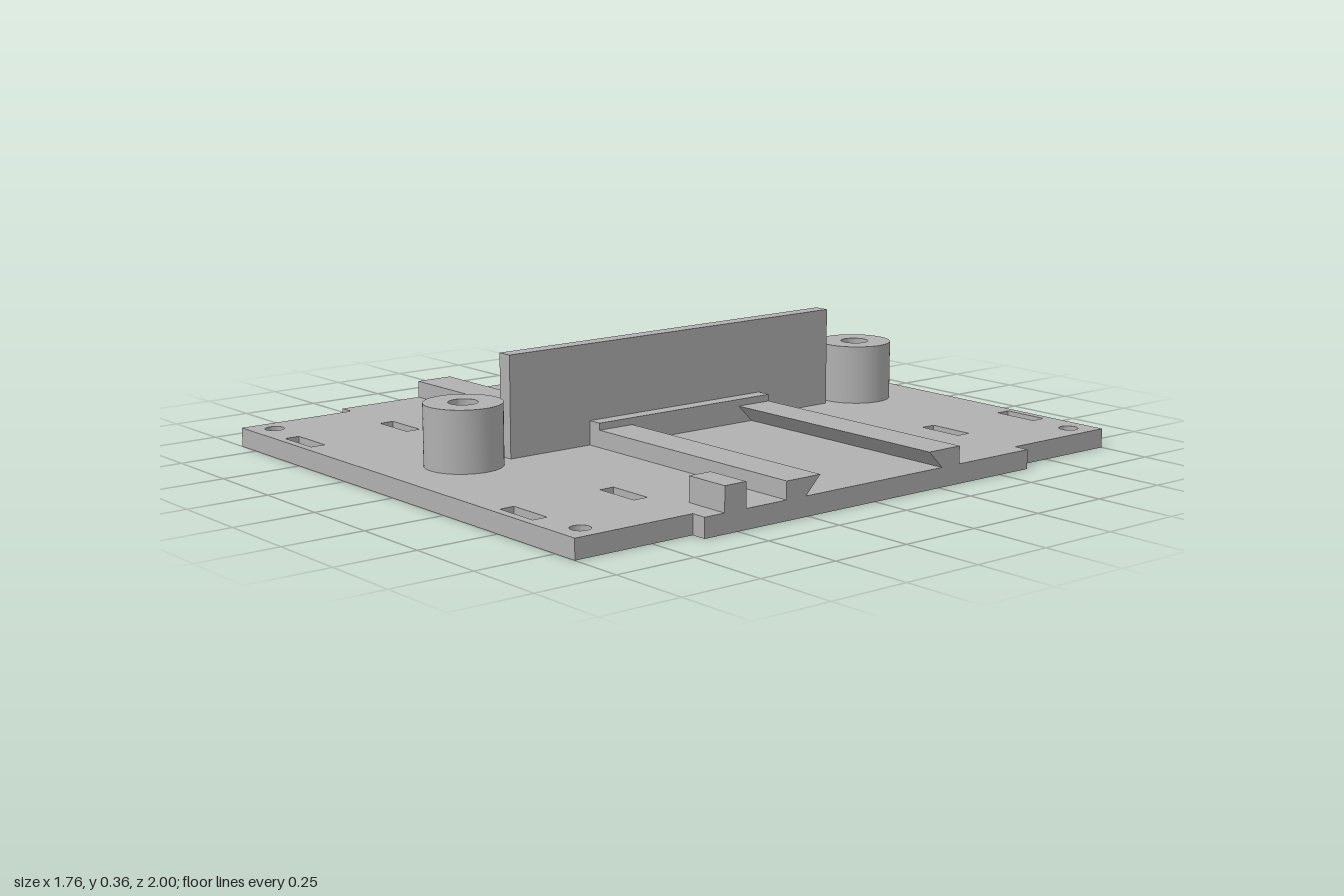
import * as THREE from 'three';
import { toCreasedNormals } from 'three/addons/utils/BufferGeometryUtils.js';

const grey = new THREE.MeshStandardMaterial({ color: 0xb0b0b0 });
grey.name = 'grey plastic';

const BASE = 0.058; // plate thickness

function add(group, name, geometry) {
  const mesh = new THREE.Mesh(geometry, grey);
  mesh.name = name;
  group.add(mesh);
  return mesh;
}

function circle(x, y, r) {
  return new THREE.Path().absarc(x, y, r, 0, Math.PI * 2, true);
}

function polygon(points, Type = THREE.Shape) {
  return new Type(points.map(([x, y]) => new THREE.Vector2(x, y)));
}

// Extrudes a plan shape upwards from height y0 to y1
function slab(shape, y0, y1) {
  const g = new THREE.ExtrudeGeometry(shape, { depth: y1 - y0, bevelEnabled: false, curveSegments: 32 });
  g.rotateX(-Math.PI / 2).translate(0, y0, 0);
  return toCreasedNormals(g, 0.6);
}

// Box given by its limits on each axis
function block(x0, x1, y0, y1, z0, z1) {
  return new THREE.BoxGeometry(x1 - x0, y1 - y0, z1 - z0)
    .translate((x0 + x1) / 2, (y0 + y1) / 2, (z0 + z1) / 2);
}

export function createModel() {
  const model = new THREE.Group();
  model.name = 'mountingPlate';

  // Base plate with widened middle, slots and holes
  const plate = polygon([
    [-0.832, -1], [0.832, -1], [0.832, -0.615], [0.88, -0.615], [0.88, 0.615], [0.832, 0.615],
    [0.832, 1], [-0.832, 1], [-0.832, 0.615], [-0.88, 0.615], [-0.88, -0.615], [-0.832, -0.615],
  ]);
  plate.holes.push(circle(-0.43, 0, 0.193));
  for (const sz of [-1, 1]) {
    plate.holes.push(circle(0, sz * 0.76, 0.043));
    for (const sx of [-1, 1]) {
      plate.holes.push(circle(sx * 0.761, sz * 0.928, 0.029));
      for (const z of [0.619, 0.951]) {
        const x = sx * 0.547, y = sz * z, w = 0.073, h = 0.023;
        plate.holes.push(polygon([[x - w, y - h], [x - w, y + h], [x + w, y + h], [x + w, y - h]], THREE.Path));
      }
    }
  }
  add(model, 'basePlate', slab(plate, 0, BASE));

  // Hollow screw bosses
  for (const sz of [-1, 1]) {
    const ring = new THREE.Shape().absarc(0, 0, 0.114, 0, Math.PI * 2, false);
    ring.holes.push(circle(0, 0, 0.043));
    add(model, sz > 0 ? 'frontBoss' : 'backBoss', slab(ring, BASE, 0.24)).position.z = sz * 0.76;
  }

  // Dividing wall and the end stop around its foot
  add(model, 'dividingWall', block(-0.024, 0.024, BASE, 0.36, -0.615, 0.615));
  add(model, 'endStop', block(-0.07, 0.07, BASE, 0.131, -0.33, 0.33));

  // Dovetail rails, undercut on the inside
  for (const sz of [-1, 1]) {
    const profile = polygon([[0.33, BASE], [0.33, 0.11], [0.208, 0.11], [0.26, BASE]].map(([z, y]) => [-sz * z, y]));
    for (const sx of [-1, 1]) {
      const rail = new THREE.ExtrudeGeometry(profile, { depth: 0.81, bevelEnabled: false });
      rail.rotateY(Math.PI / 2).translate(sx > 0 ? 0.07 : -0.88, 0, 0);
      add(model, (sz > 0 ? 'front' : 'back') + (sx > 0 ? 'Left' : 'Right') + 'Rail', rail);
    }
  }

  // Small locating blocks on opposite edges
  add(model, 'leftLocatingBlock', block(0.735, 0.88, BASE, 0.131, 0.472, 0.547));
  add(model, 'rightLocatingBlock', block(-0.88, -0.738, BASE, 0.131, -0.549, -0.477));

  return model;
}
